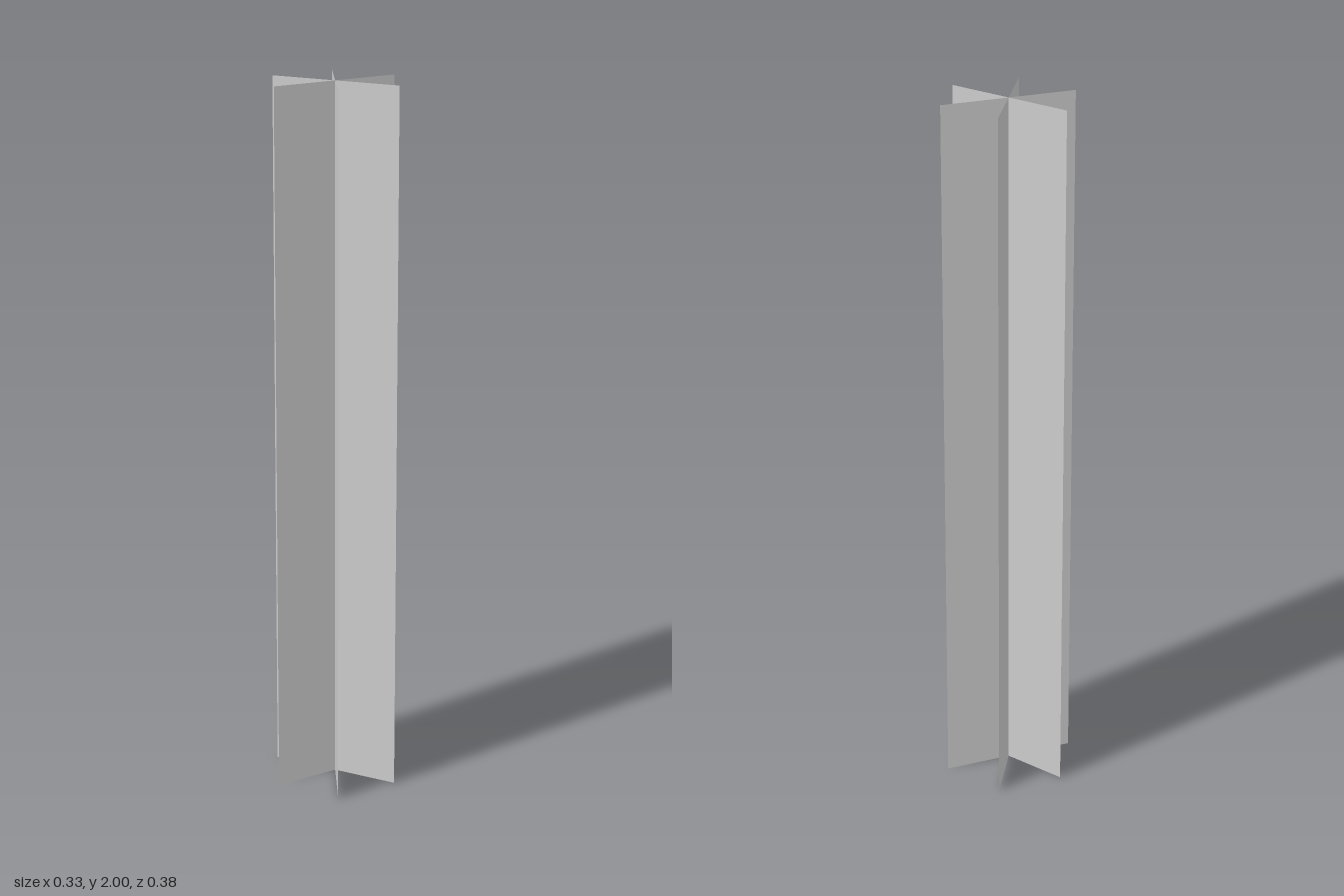
import * as THREE from 'three';

const HEIGHT = 2;
const RADIUS = 0.19;
const BLADES = 3;

export function createModel() {
  const group = new THREE.Group();
  group.name = 'crossedBlades';
  const material = new THREE.MeshStandardMaterial({
    color: 0xcccccc, flatShading: true, side: THREE.DoubleSide,
  });

  // Thin upright sheets crossing on the central axis, 60 degrees apart
  const sheet = new THREE.PlaneGeometry(RADIUS * 2, HEIGHT, 2, 1);
  for (let i = 0; i < BLADES; i++) {
    const blade = new THREE.Mesh(sheet, material);
    blade.name = `blade${i + 1}`;
    blade.position.y = HEIGHT / 2;
    blade.rotation.y = Math.PI / 6 + (i * Math.PI) / BLADES;
    group.add(blade);
  }
  return group;
}
